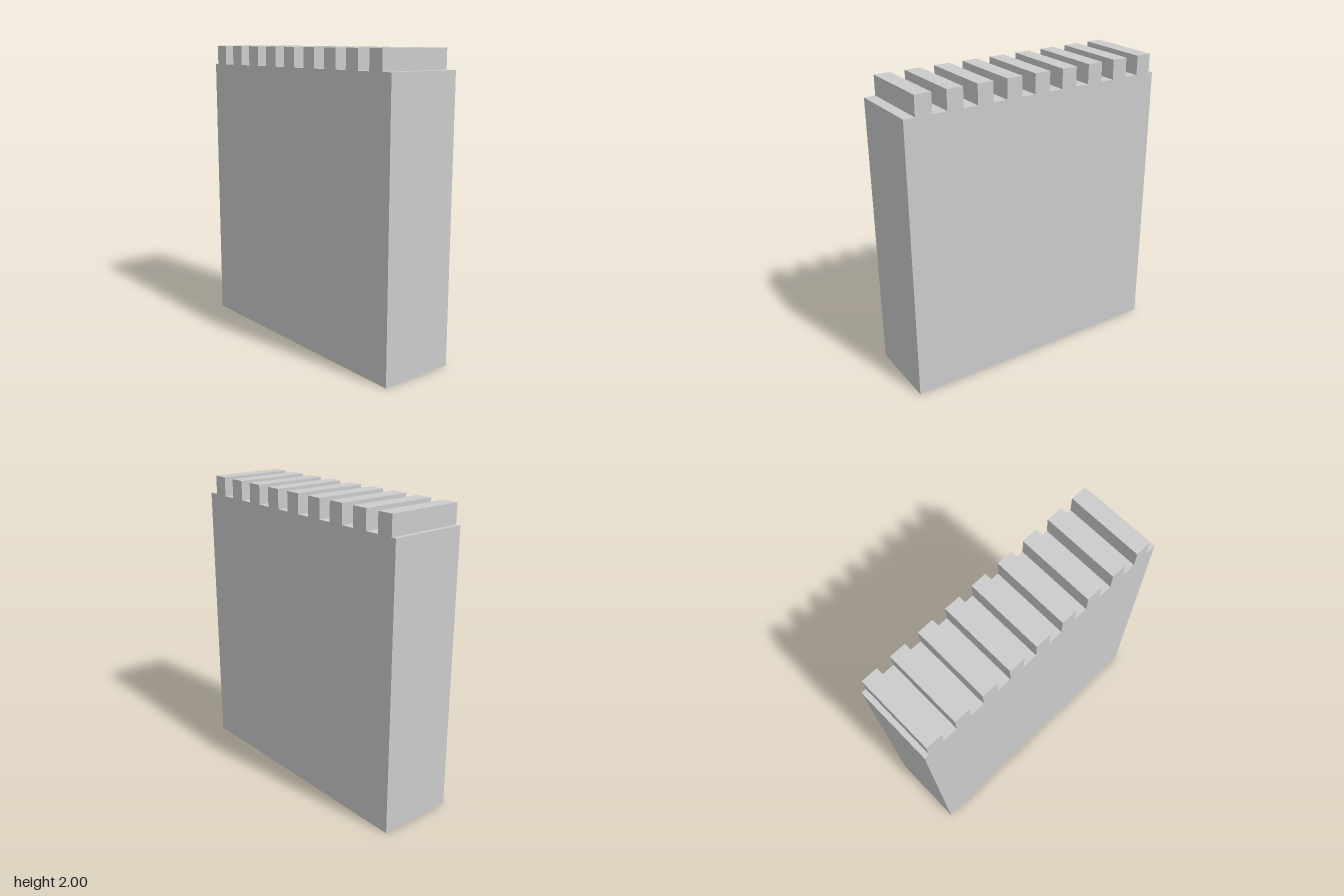
import * as THREE from 'three';

const HALF_WIDTH = 0.93, DEPTH = 0.525, SHOULDER = 1.87, TOP = 2;
const TEETH = 9, FIRST = -0.897, PITCH = 0.2055, TOOTH = 0.109;

export function createModel() {
  const group = new THREE.Group();
  group.name = 'crenellatedWall';

  // Wall outline: plain slab with a row of square teeth along the top
  const outline = new THREE.Shape();
  outline.moveTo(-HALF_WIDTH, 0);
  outline.lineTo(HALF_WIDTH, 0);
  outline.lineTo(HALF_WIDTH, SHOULDER);
  for (let i = TEETH - 1; i >= 0; i--) {
    const left = FIRST + i * PITCH, right = left + TOOTH;
    outline.lineTo(right, SHOULDER);
    outline.lineTo(right, TOP);
    outline.lineTo(left, TOP);
    outline.lineTo(left, SHOULDER);
  }
  outline.lineTo(-HALF_WIDTH, SHOULDER);
  outline.closePath();

  // Extrude through the full thickness, centred on z
  const geometry = new THREE.ExtrudeGeometry(outline, { depth: DEPTH, bevelEnabled: false });
  geometry.translate(0, 0, -DEPTH / 2);

  const wall = new THREE.Mesh(
    geometry,
    new THREE.MeshStandardMaterial({ color: 0xcccccc, flatShading: true })
  );
  wall.name = 'toothedWall';
  group.add(wall);
  return group;
}
